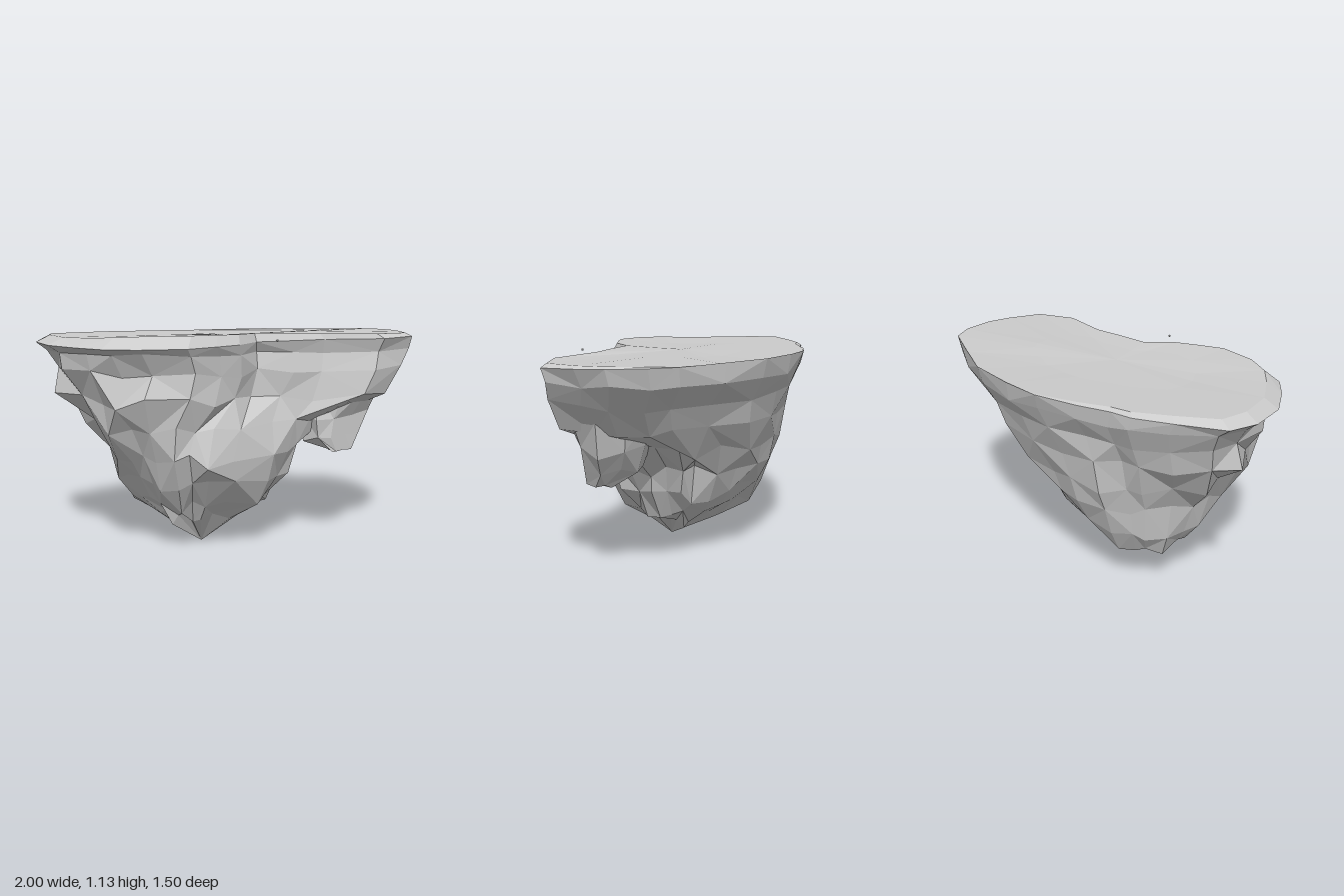
import * as THREE from 'three';

// Kidney-shaped rim of the island, counter-clockwise from above: [x, z]
const RIM = [
  [-1, .21], [-.95, .37], [-.8, .55], [-.6, .67], [-.44, .74], [-.26, .745], [-.03, .67],
  [.08, .54], [.17, .42], [.22, .24], [.4, .14], [.55, .05], [.86, -.03], [1, -.21],
  [.95, -.41], [.88, -.55], [.75, -.69], [.63, -.755], [.35, -.745], [.07, -.73],
  [-.2, -.63], [-.4, -.53], [-.57, -.37], [-.68, -.24], [-.77, -.17], [-.88, 0],
];

function seeded(seed) {
  return () => {
    seed = (seed * 16807) % 2147483647;
    return (seed / 2147483647) * 2 - 1;
  };
}

// Flat-shaded skin over rings of equal length, ordered from the top centre to the bottom tip
function loft(rings, name) {
  const pos = [];
  const tri = (a, b, c) => {
    if (a.equals(b) || b.equals(c) || a.equals(c)) return;
    for (const p of [a, b, c]) pos.push(p.x, p.y, p.z);
  };
  for (let r = 0; r < rings.length - 1; r++) {
    const n = rings[r].length;
    for (let i = 0; i < n; i++) {
      const j = (i + 1) % n;
      const a = rings[r][i], b = rings[r][j], c = rings[r + 1][i], d = rings[r + 1][j];
      if ((i + r) % 2) { tri(a, c, b); tri(b, c, d); }
      else { tri(a, c, d); tri(a, d, b); }
    }
  }
  const geometry = new THREE.BufferGeometry();
  geometry.setAttribute('position', new THREE.Float32BufferAttribute(pos, 3));
  geometry.computeVertexNormals();
  const mesh = new THREE.Mesh(geometry, new THREE.MeshStandardMaterial({ color: 0xcccccc, flatShading: true }));
  mesh.name = name;
  return mesh;
}

// Ring filling the given bounds; round = 0 keeps the rim shape, 1 gives an ellipse
function rockRing([y, x0, x1, z0, z1, round, jitter], outline, rand) {
  const cx = (x0 + x1) / 2, cz = (z0 + z1) / 2;
  return outline.map(([px, pz]) => {
    const qx = px, qz = pz / .75, len = Math.hypot(qx, qz);
    const fill = len > 1 ? round : Math.max(0, round * 2 - 1);
    const s = THREE.MathUtils.lerp(len, 1, fill) / len * (1 + jitter * rand());
    const x = cx + qx * s * (x1 - x0) / 2, z = cz + qz * s * (z1 - z0) / 2;
    // flat inner side below the concave edge
    const over = y < .7 ? Math.max(0, (x + z) / 2 - .3) : 0;
    return new THREE.Vector3(x - over, y + jitter * rand() * .6, z - over);
  });
}

function point(x, y, z, n) {
  return Array.from({ length: n }, () => new THREE.Vector3(x, y, z));
}

export function createModel() {
  const group = new THREE.Group();
  group.name = 'floatingIsland';
  const rand = seeded(31337);

  // Gently uneven top, bevelled along the front only
  const rim = RIM.map(([x, z]) => new THREE.Vector3(x, 1.095 - .045 * z, z));
  const topRing = (s, bevel) => RIM.map(([x, z]) => {
    const k = s - bevel * z;
    return new THREE.Vector3(x * k, 1.122 + .008 * x + .006 * Math.sin(5 * x + 3 * z) - (1 - s) * .02, z * k);
  });
  const top = [point(0, 1.113, 0, RIM.length), topRing(.5, 0), topRing(.95, .06), rim];

  // Underside levels: y, x range, z range, roundness, jitter
  const levels = [
    [1.03, -.96, .97, -.735, .7, .05, .02],
    [.93, -.92, .95, -.65, .67, .25, .04],
    [.79, -.89, .87, -.59, .67, .5, .05],
    [.64, -.73, .55, -.49, .64, .75, .06],
    [.50, -.62, .4, -.38, .58, 1, .06],
    [.35, -.56, .34, -.3, .49, 1, .07],
    [.23, -.49, .24, -.21, .4, 1, .07],
    [.15, -.35, .1, -.09, .34, 1, .07],
  ];
  const under = levels.map((l) => rockRing(l, RIM, rand));
  group.add(loft([...top, ...under, point(-.09, 0, .2, RIM.length)], 'islandRock'));

  // Smaller rock hanging beneath the +x end
  const circle = Array.from({ length: 10 }, (_, i) => {
    const a = -i / 10 * Math.PI * 2;
    return [Math.cos(a), Math.sin(a) * .75];
  });
  const lobeLevels = [
    [.83, .35, .83, -.41, .02, 1, .03],
    [.67, .37, .79, -.37, .06, 1, .06],
    [.56, .41, .73, -.3, .05, 1, .05],
    [.485, .57, .69, -.2, .02, 1, .02],
  ];
  const lobe = lobeLevels.map((l) => rockRing(l, circle, rand));
  group.add(loft([point(.6, .9, -.2, 10), ...lobe, point(.64, .48, -.1, 10)], 'hangingRock'));

  // Loose pebble by the concave edge
  const pebble = new THREE.Mesh(
    new THREE.IcosahedronGeometry(.007, 0),
    new THREE.MeshStandardMaterial({ color: 0xcccccc, flatShading: true }),
  );
  pebble.name = 'pebble';
  pebble.position.set(.36, 1.1, .435);
  group.add(pebble);

  return group;
}
